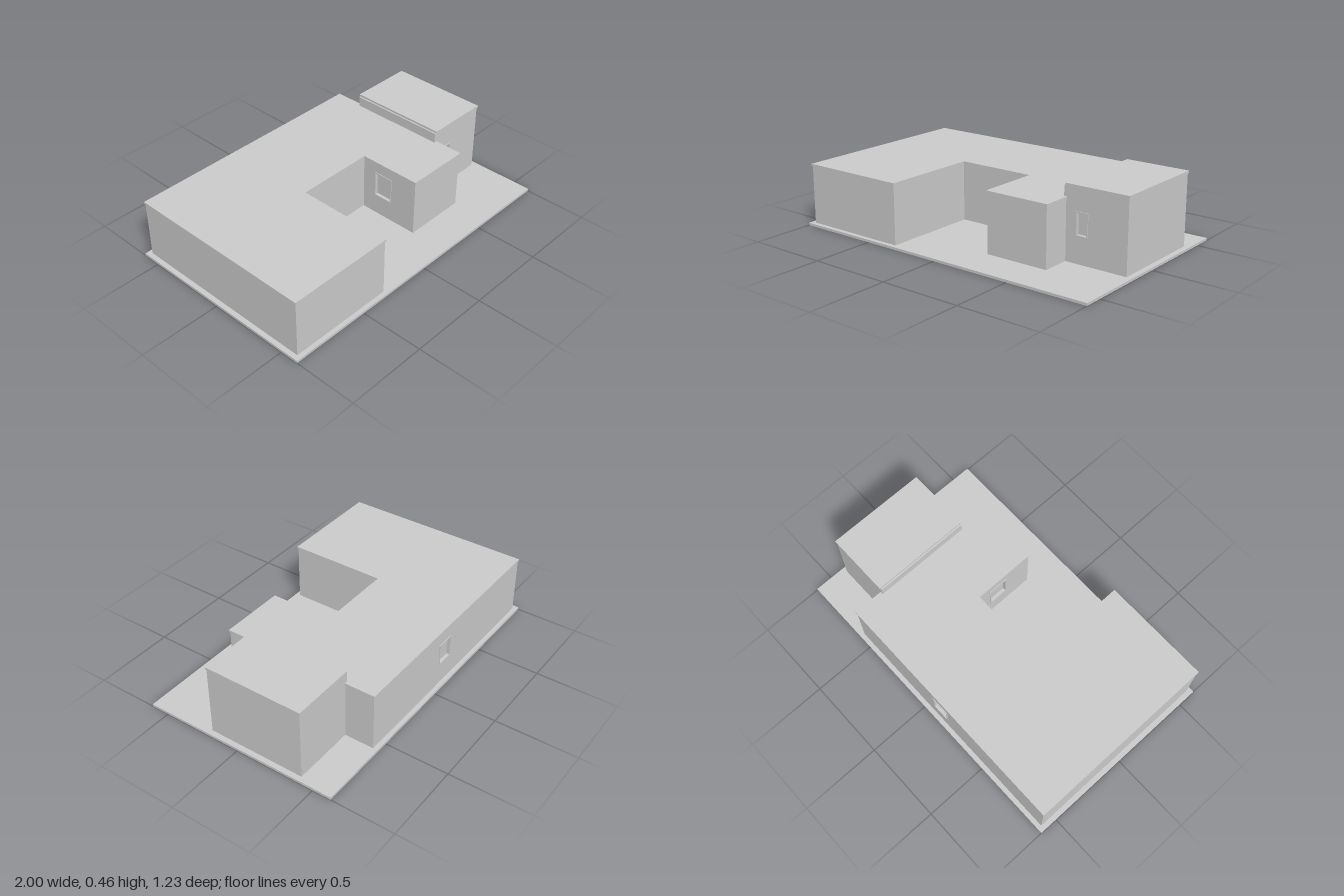
import * as THREE from 'three';

const BASE = 0.015, THICK = 0.02;
const plaster = new THREE.MeshStandardMaterial({ color: 0xcccccc });
plaster.name = 'light grey plaster';

function rect(T, x0, y0, x1, y1) {
  return new T().moveTo(x0, y0).lineTo(x1, y0).lineTo(x1, y1).lineTo(x0, y1).closePath();
}

function add(parent, geometry, name) {
  const mesh = new THREE.Mesh(geometry, plaster);
  mesh.name = name;
  parent.add(mesh);
  return mesh;
}

function block(parent, name, x0, x1, y0, y1, z0, z1) {
  add(parent, new THREE.BoxGeometry(x1 - x0, y1 - y0, z1 - z0), name)
    .position.set((x0 + x1) / 2, (y0 + y1) / 2, (z0 + z1) / 2);
}

const extrude = (shape, depth) => new THREE.ExtrudeGeometry(shape, { depth, bevelEnabled: false });

// Wall from a to b (plan x, z) with its outside on local +z; window = [u0, u1, y0, y1]
function wall(parent, name, a, b, top, window) {
  const dx = b[0] - a[0], dz = b[1] - a[1];
  const group = new THREE.Group();
  group.name = name;
  group.position.set(a[0], 0, a[1]);
  group.rotation.y = Math.atan2(-dz, dx);
  const panel = rect(THREE.Shape, 0, BASE, Math.hypot(dx, dz), top);
  if (window) {
    const [u0, u1, y0, y1] = window, f = 0.008;
    panel.holes.push(rect(THREE.Path, u0 + f, y0 + f, u1 - f, y1 - f));
    // Slightly raised frame and a recessed pane
    const frame = rect(THREE.Shape, u0, y0, u1, y1);
    frame.holes.push(rect(THREE.Path, u0 + f, y0 + f, u1 - f, y1 - f));
    add(group, extrude(frame, 0.004), 'windowFrame');
    block(group, 'windowPane', u0, u1, y0, y1, -THICK - 0.004, -THICK + 0.004);
  }
  add(group, extrude(panel, THICK), 'wallPanel').position.z = -THICK;
  parent.add(group);
}

// Closed ring of walls, counter-clockwise seen from above
function wallRing(parent, name, points, top, windows) {
  points.forEach((p, i) =>
    wall(parent, name, p, points[(i + 1) % points.length], top, windows[i]));
}

// Flat slab from a plan outline
function slab(parent, name, points, y0, y1) {
  const shape = new THREE.Shape(points.map(([x, z]) => new THREE.Vector2(x, -z)));
  const geometry = extrude(shape, y1 - y0);
  geometry.rotateX(-Math.PI / 2);
  add(parent, geometry, name).position.y = y0;
}

// Plan of the U-shaped house, grown outwards by e
const housePlan = (e) => [
  [-0.97 - e, 0.586 + e], [-0.312 + e, 0.586 + e], [-0.312 + e, -0.013 + e],
  [0.184 - e, -0.013 + e], [0.184 - e, 0.375 + e], [0.58 + e, 0.375 + e],
  [0.58 + e, -0.586 - e], [-0.97 - e, -0.586 - e],
];

export function createModel() {
  const model = new THREE.Group();
  model.name = 'courtyardHouse';

  block(model, 'basePlate', -1, 1, 0, BASE, -0.613, 0.613);

  // Low U-shaped house around the courtyard
  const house = new THREE.Group();
  house.name = 'lowHouse';
  wallRing(house, 'houseWall', housePlan(0), 0.37, {
    3: [0.085, 0.213, 0.14, 0.305],
    6: [0.65, 0.77, 0.15, 0.29],
  });
  slab(house, 'houseRoof', housePlan(0.005), 0.368, 0.38);
  model.add(house);

  // Taller block on the side
  const tower = new THREE.Group();
  tower.name = 'tallBlock';
  wallRing(tower, 'tallWall',
    [[0.58, 0.2], [0.967, 0.2], [0.967, -0.405], [0.58, -0.405]], 0.445,
    { 0: [0.062, 0.142, 0.17, 0.31] });
  block(tower, 'tallRoof', 0.575, 0.972, 0.441, 0.455, -0.41, 0.205);
  block(tower, 'roofUpstand', 0.566, 0.582, 0.379, 0.442, -0.405, 0.2);
  model.add(tower);

  return model;
}
